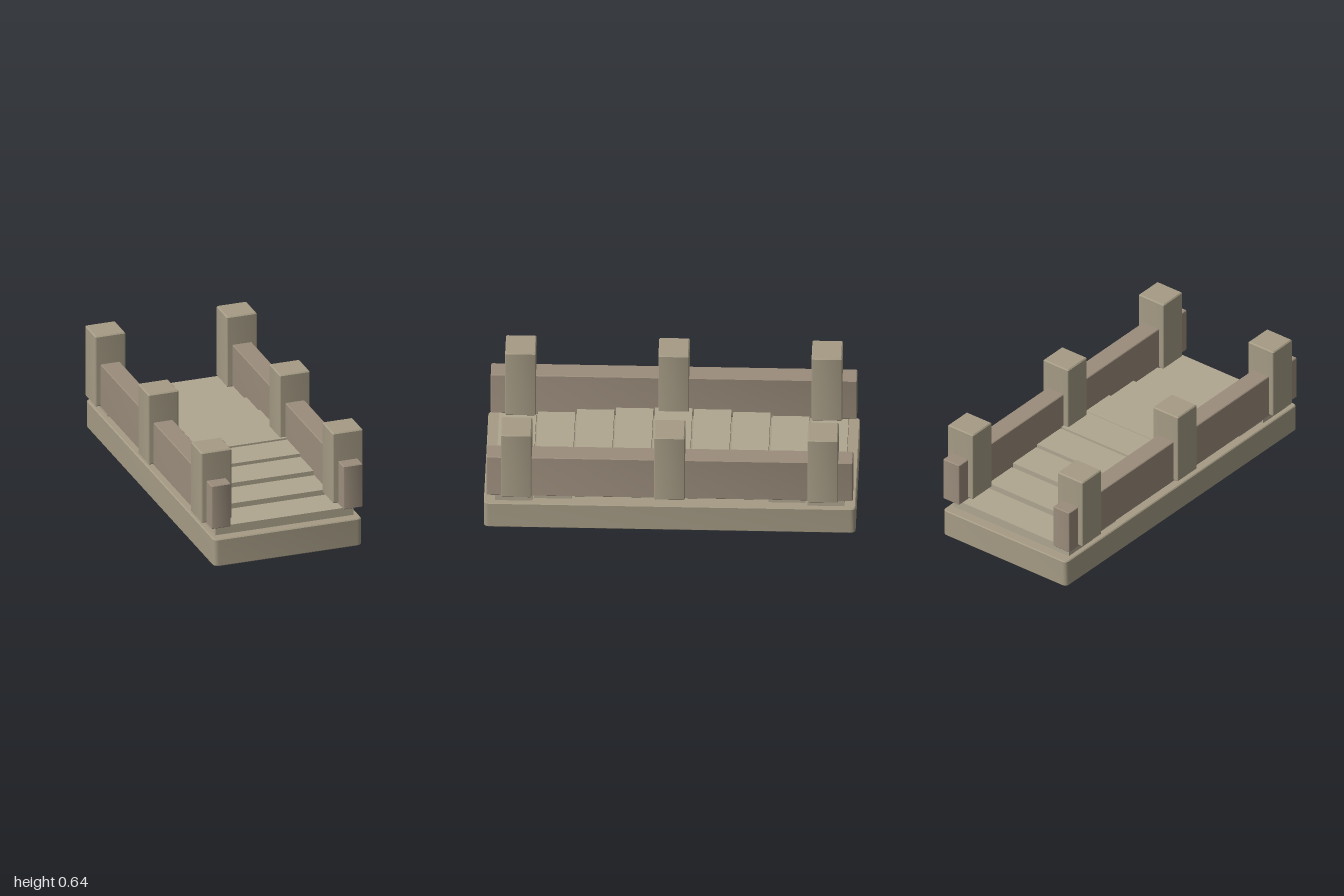
import * as THREE from 'three';
import { toCreasedNormals } from 'three/addons/utils/BufferGeometryUtils.js';

const material = (color) => new THREE.MeshStandardMaterial({ color });
const plankMaterial = material(0xb0a690);
const stoneMaterial = material(0xa59b85);
const railMaterial = material(0x9b8d7c);

// Block w (x) by h (y) by d (z) standing on y = 0, with rounded upright edges and bevelled rims
function block(w, h, d, radius, bevel) {
  const x = w / 2 - bevel, y = d / 2 - bevel, r = radius;
  const s = new THREE.Shape();
  s.moveTo(-x + r, -y);
  s.lineTo(x - r, -y);
  s.quadraticCurveTo(x, -y, x, -y + r);
  s.lineTo(x, y - r);
  s.quadraticCurveTo(x, y, x - r, y);
  s.lineTo(-x + r, y);
  s.quadraticCurveTo(-x, y, -x, y - r);
  s.lineTo(-x, -y + r);
  s.quadraticCurveTo(-x, -y, -x + r, -y);
  const g = new THREE.ExtrudeGeometry(s, {
    depth: h - 2 * bevel, bevelEnabled: true, bevelThickness: bevel,
    bevelSize: bevel, bevelSegments: 1, curveSegments: 4,
  });
  g.translate(0, 0, bevel);
  g.rotateX(-Math.PI / 2);
  return toCreasedNormals(g, 0.6);
}

export function createModel() {
  const model = new THREE.Group();
  model.name = 'bridge';

  const add = (name, geometry, mat, x, y, z) => {
    const mesh = new THREE.Mesh(geometry, mat);
    mesh.name = name;
    mesh.position.set(x, y, z);
    model.add(mesh);
  };

  // Foundation slab
  add('base', block(0.848, 0.158, 2, 0.024, 0.005), stoneMaterial, 0, 0, 0);

  // Deck planks, rising in a gentle arch towards the middle
  const plank = new THREE.BoxGeometry(0.79, 0.056, 0.2);
  for (let i = 0; i < 9; i++) {
    const rise = 0.065 * Math.sin((Math.PI * i) / 8);
    add(`plank${i + 1}`, plank, plankMaterial, 0, 0.179 + rise, (i - 4) * 0.21);
  }

  // Side rails, each with three posts
  const rail = block(0.111, 0.253, 1.97, 0.006, 0.004);
  const post = block(0.173, 0.412, 0.165, 0.002, 0.006);
  for (const [side, sign] of [['left', 1], ['right', -1]]) {
    add(`${side}Rail`, rail, railMaterial, sign * 0.3775, 0.217, 0);
    [['Front', 0.824], ['Middle', 0], ['Back', -0.824]].forEach(([place, z]) =>
      add(`${side}${place}Post`, post, stoneMaterial, sign * 0.3765, 0.225, z));
  }

  return model;
}
